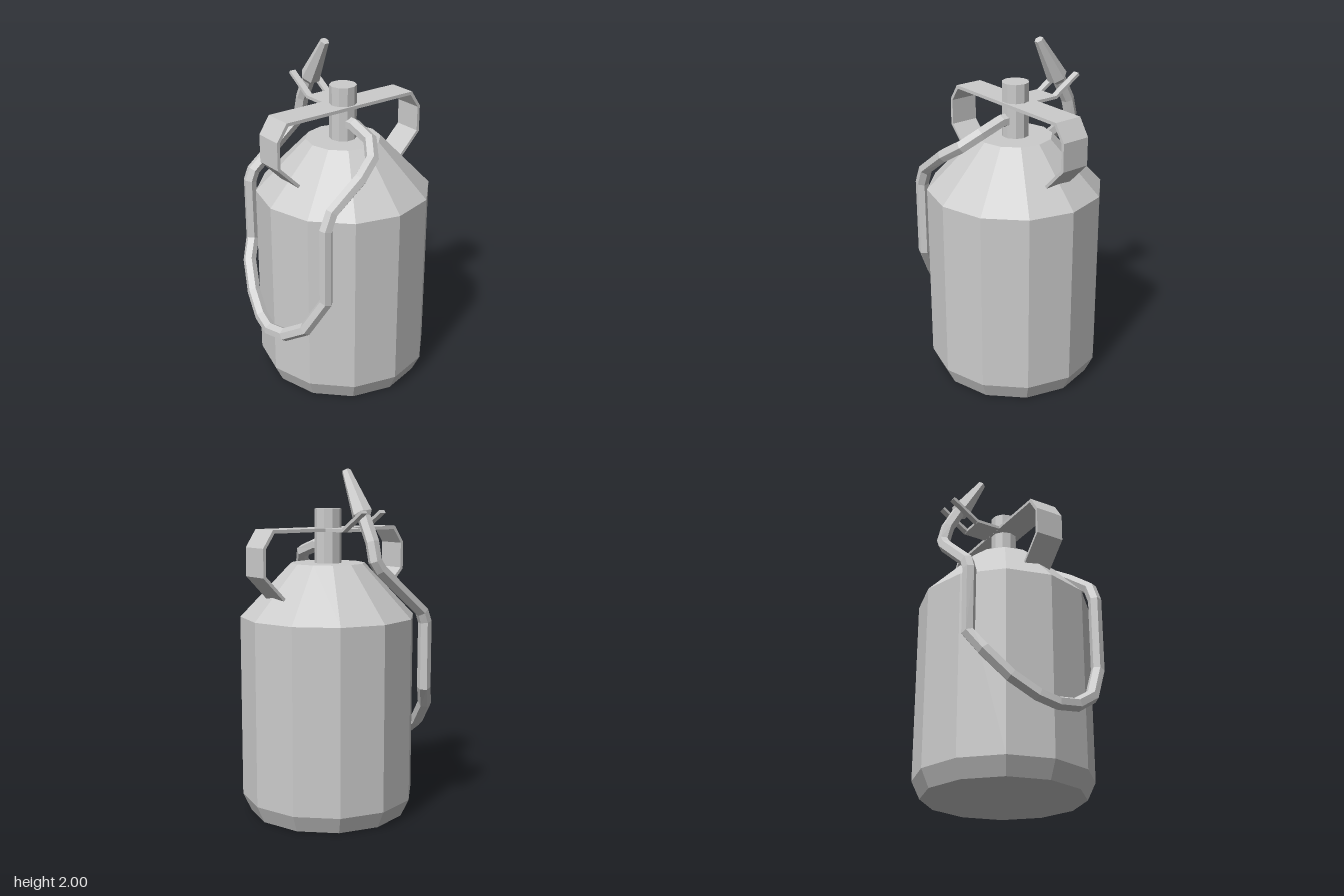
import * as THREE from 'three';

const CX = 0.034; // axis of the tank

export function createModel() {
  const model = new THREE.Group();
  const grey = new THREE.MeshStandardMaterial({ color: 0xcccccc, flatShading: true });

  const add = (name, geometry, x = 0, y = 0, z = 0) => {
    const mesh = new THREE.Mesh(geometry, grey);
    mesh.name = name;
    mesh.position.set(x, y, z);
    model.add(mesh);
    return mesh;
  };

  // Tank: twelve-sided body with chamfered foot and sloping shoulder
  const profile = [[0, 0], [0.46, 0], [0.507, 0.1], [0.507, 1.16], [0.215, 1.465], [0, 1.465]];
  add('tank', new THREE.LatheGeometry(profile.map(([r, y]) => new THREE.Vector2(r, y)), 12), CX);

  // Valve neck
  const neck = new THREE.CylinderGeometry(0.078, 0.078, 0.335, 10).rotateY(Math.PI / 2);
  add('valveNeck', neck, CX, 1.6075, -0.003);

  // Carrying handle: a bent strip, one half mirrored to the other
  const outer = [[0.372, 1.275], [0.505, 1.41], [0.505, 1.57], [0.44, 1.667]];
  const inner = [[0.43, 1.648], [0.487, 1.565], [0.487, 1.417], [0.36, 1.288]];
  const mirror = (pts) => pts.map(([x, y]) => [-x, y]).reverse();
  const outline = [...outer, ...mirror(outer), ...mirror(inner), ...inner];
  const strip = new THREE.Shape(outline.map(([x, y]) => new THREE.Vector2(x, y)));
  add('handle', new THREE.ExtrudeGeometry(strip, { depth: 0.17, bevelEnabled: false }), CX, 0, -0.088);

  // Nozzle holder: flat plate ending in a raised fork
  add('holderPlate', new THREE.BoxGeometry(0.168, 0.018, 0.17), CX, 1.658, -0.152);
  for (const side of [-1, 1]) {
    const prong = add('holderProng', new THREE.BoxGeometry(0.038, 0.018, 0.2), CX + side * 0.065, 1.711, -0.317);
    prong.rotation.x = 0.567;
  }

  // Hose: six-sided sweep with one ring at each bend
  const path = [
    [CX, 1.565, 0], [CX, 1.565, 0.1], [CX, 1.52, 0.24], [-0.025, 1.45, 0.33], [-0.14, 1.375, 0.372],
    [-0.33, 1.235, 0.372], [-0.37, 1.14, 0.372], [-0.37, 0.7, 0.372], [-0.44, 0.5, 0.27],
    [-0.49, 0.41, 0.13], [-0.505, 0.39, 0], [-0.49, 0.42, -0.11], [-0.45, 0.51, -0.25],
    [-0.39, 0.65, -0.38], [-0.325, 0.76, -0.44], [-0.325, 1.14, -0.44], [-0.3, 1.2, -0.44],
    [0.0, 1.45, -0.425], [CX, 1.5, -0.42], [CX, 1.6, -0.395], [CX, 1.75, -0.315],
  ].map((p) => new THREE.Vector3(...p));
  const last = path.length - 1;
  class BentPath extends THREE.Curve {
    getPoint(t, target = new THREE.Vector3()) { return target.copy(path[Math.round(t * last)]); }
    getPointAt(u, target) { return this.getPoint(u, target); }
    getTangentAt(u, target = new THREE.Vector3()) {
      const i = Math.round(u * last);
      const before = path[i].clone().sub(path[Math.max(i - 1, 0)]).normalize();
      const after = path[Math.min(i + 1, last)].clone().sub(path[i]).normalize();
      return target.copy(before.add(after)).normalize();
    }
  }
  add('hose', new THREE.TubeGeometry(new BentPath(), last, 0.039, 6, false));

  // Nozzle: tapered horn pointing up and forward from the hose end
  const horn = [[0, 0], [0.038, 0], [0.06, 0.03], [0.026, 0.305], [0, 0.305]];
  const nozzle = add('nozzle',
    new THREE.LatheGeometry(horn.map(([r, y]) => new THREE.Vector2(r, y)), 6).rotateY(Math.PI / 6),
    CX, 1.722, -0.325);
  nozzle.rotation.x = 0.54;

  return model;
}
